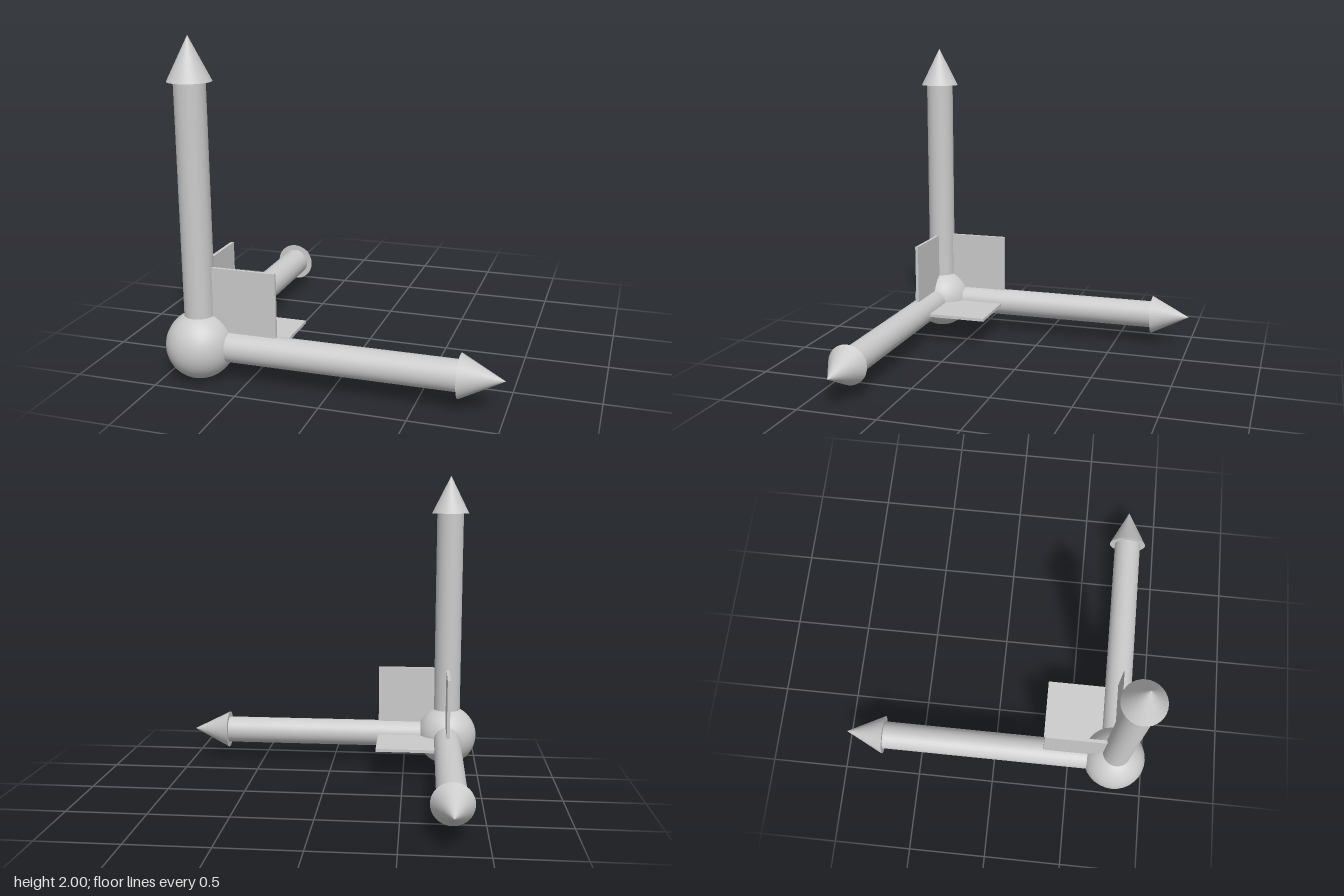
import * as THREE from 'three';

export function createModel() {
  const model = new THREE.Group();
  model.name = 'axisGizmo';
  const material = new THREE.MeshStandardMaterial({ color: 0xcccccc });

  const ballRadius = 0.204;
  const reach = 2 - ballRadius; // ball centre to arrow tip
  const headLength = 0.252, headRadius = 0.126, shaftRadius = 0.09;
  const plateSize = 0.476, plateThickness = 0.02;

  const add = (parent, name, geometry) => {
    const mesh = new THREE.Mesh(geometry, material);
    mesh.name = name;
    parent.add(mesh);
    return mesh;
  };

  // Everything radiates from the ball in one corner
  const hub = new THREE.Group();
  hub.name = 'hub';
  hub.position.set(-1 + ballRadius, ballRadius, 1 - ballRadius);
  model.add(hub);
  add(hub, 'originBall', new THREE.SphereGeometry(ballRadius, 32, 24));

  // Three arrows: each is built pointing up, then turned onto its axis
  const shaftLength = reach - headLength;
  const shaft = new THREE.CylinderGeometry(shaftRadius, shaftRadius, shaftLength, 32)
    .translate(0, shaftLength / 2, 0);
  const head = new THREE.ConeGeometry(headRadius, headLength, 32)
    .translate(0, reach - headLength / 2, 0);
  const arrows = [
    ['upArrow', 0, 0],
    ['leftArrow', 0, -Math.PI / 2],
    ['backArrow', -Math.PI / 2, 0],
  ];
  for (const [name, rx, rz] of arrows) {
    const arrow = new THREE.Group();
    arrow.name = name;
    arrow.rotation.set(rx, 0, rz);
    add(arrow, 'shaft', shaft);
    add(arrow, 'arrowHead', head);
    hub.add(arrow);
  }

  // Three thin square plates, one between each pair of arrows
  const s = plateSize, t = plateThickness;
  const plates = [
    ['frontPlate', s, s, t],
    ['sidePlate', t, s, s],
    ['floorPlate', s, t, s],
  ];
  for (const [name, w, h, d] of plates) {
    const plate = add(hub, name, new THREE.BoxGeometry(w, h, d));
    const offset = (size) => (size === t ? 0 : size / 2);
    plate.position.set(offset(w), offset(h), -offset(d));
  }

  return model;
}
